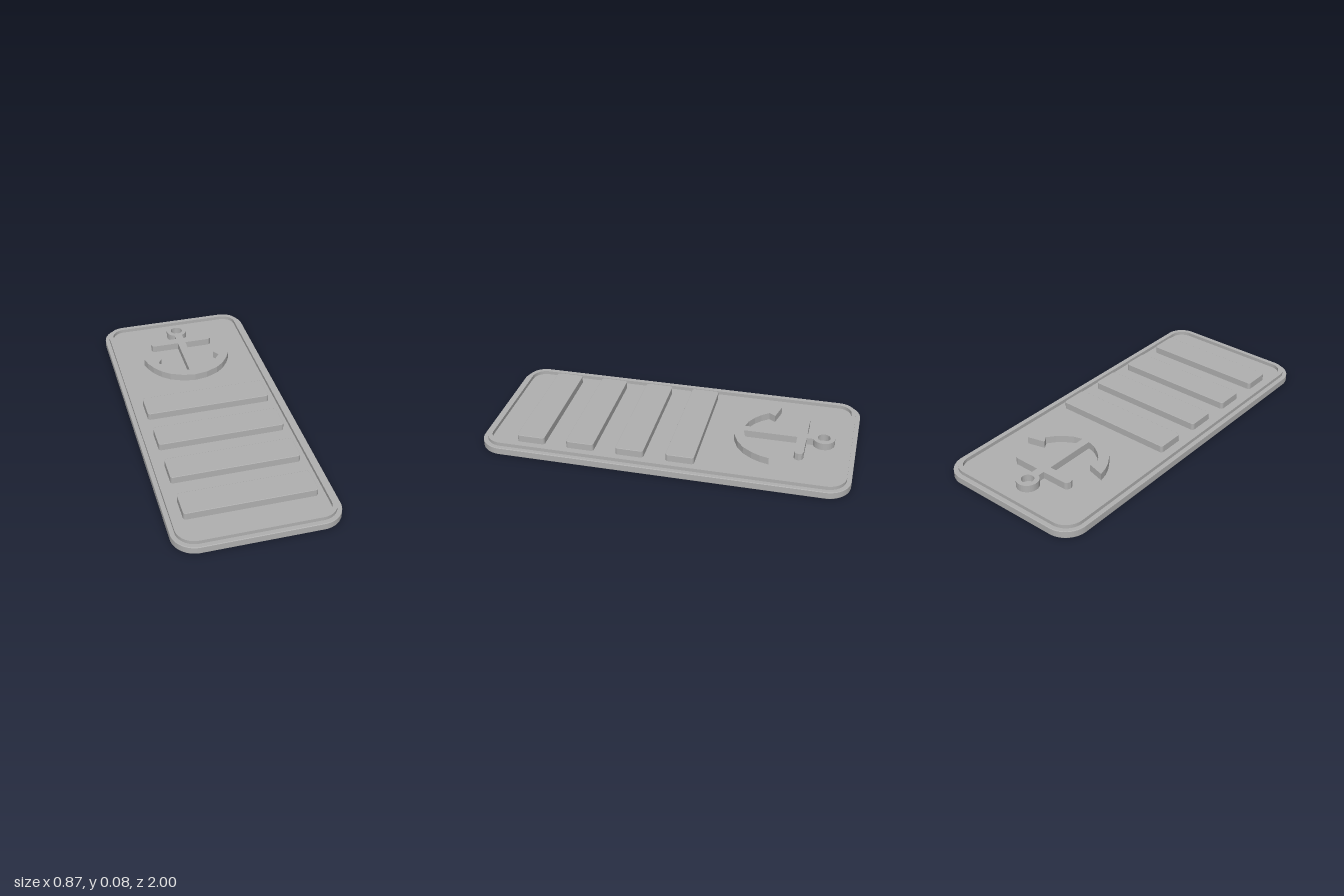
import * as THREE from 'three';

// Rounded rectangle outline centred on the origin
function roundedRect(Type, hw, hh, r) {
  const p = new Type();
  p.absarc(hw - r, hh - r, r, 0, Math.PI / 2);
  p.absarc(-hw + r, hh - r, r, Math.PI / 2, Math.PI);
  p.absarc(-hw + r, -hh + r, r, Math.PI, Math.PI * 1.5);
  p.absarc(hw - r, -hh + r, r, Math.PI * 1.5, Math.PI * 2);
  p.closePath();
  return p;
}

// Lay a shape flat (shape y becomes -z) and raise it from y0 to y1
function slab(name, shape, y0, y1, material, bevel = 0) {
  const geometry = new THREE.ExtrudeGeometry(shape, {
    depth: y1 - y0 - 2 * bevel,
    bevelEnabled: bevel > 0,
    bevelThickness: bevel,
    bevelSize: bevel,
    bevelOffset: -bevel,
    bevelSegments: 2,
    curveSegments: 10,
  });
  geometry.rotateX(-Math.PI / 2);
  geometry.translate(0, y0 + bevel, 0);
  const mesh = new THREE.Mesh(geometry, material);
  mesh.name = name;
  return mesh;
}

// Anchor outline: right half from the ring down to the crown, then mirrored
function anchorShape() {
  const ringY = 0.825;
  const half = [];
  for (let i = 0; i <= 14; i++) {
    const a = THREE.MathUtils.degToRad(90 - (157.5 * i) / 14);
    half.push([0.06 * Math.cos(a), ringY + 0.06 * Math.sin(a)]);
  }
  half.push(
    // shank and rounded crossbar
    [0.023, 0.733], [0.165, 0.733], [0.179, 0.726], [0.185, 0.708],
    [0.179, 0.69], [0.165, 0.683], [0.023, 0.683], [0.023, 0.39],
    // inner edge of the arm, barb and tip
    [0.07, 0.403], [0.116, 0.43], [0.152, 0.462], [0.183, 0.502],
    [0.16, 0.537], [0.258, 0.562],
    // outer edge of the arm
    [0.245, 0.512], [0.222, 0.464], [0.185, 0.413], [0.14, 0.376],
    [0.07, 0.345], [0, 0.334],
  );
  const mirrored = half.slice(1, -1).reverse().map(([x, y]) => [-x, y]);
  const shape = new THREE.Shape([...half, ...mirrored].map(([x, y]) => new THREE.Vector2(x, y)));
  const hole = new THREE.Path();
  hole.absarc(0, ringY, 0.034, 0, Math.PI * 2);
  shape.holes.push(hole);
  return shape;
}

export function createModel() {
  const model = new THREE.Group();
  model.name = 'anchorPlate';
  const grey = new THREE.MeshStandardMaterial({ color: 0xb0b0b0 });
  grey.name = 'plain grey';

  // Base plate
  model.add(slab('basePlate', roundedRect(THREE.Shape, 0.436, 1, 0.125), 0, 0.04, grey, 0.003));

  // Raised rim
  const rim = roundedRect(THREE.Shape, 0.412, 0.975, 0.1);
  rim.holes.push(roundedRect(THREE.Path, 0.386, 0.95, 0.075));
  model.add(slab('rim', rim, 0.039, 0.06, grey));

  // Anchor emblem
  model.add(slab('anchor', anchorShape(), 0.039, 0.08, grey));

  // Four cross bars
  for (let i = 0; i < 4; i++) {
    const bar = slab('bar' + (i + 1), roundedRect(THREE.Shape, 0.348, 0.077, 0.016), 0.037, 0.08, grey, 0.002);
    bar.position.z = -0.103 + i * 0.275;
    model.add(bar);
  }
  return model;
}
